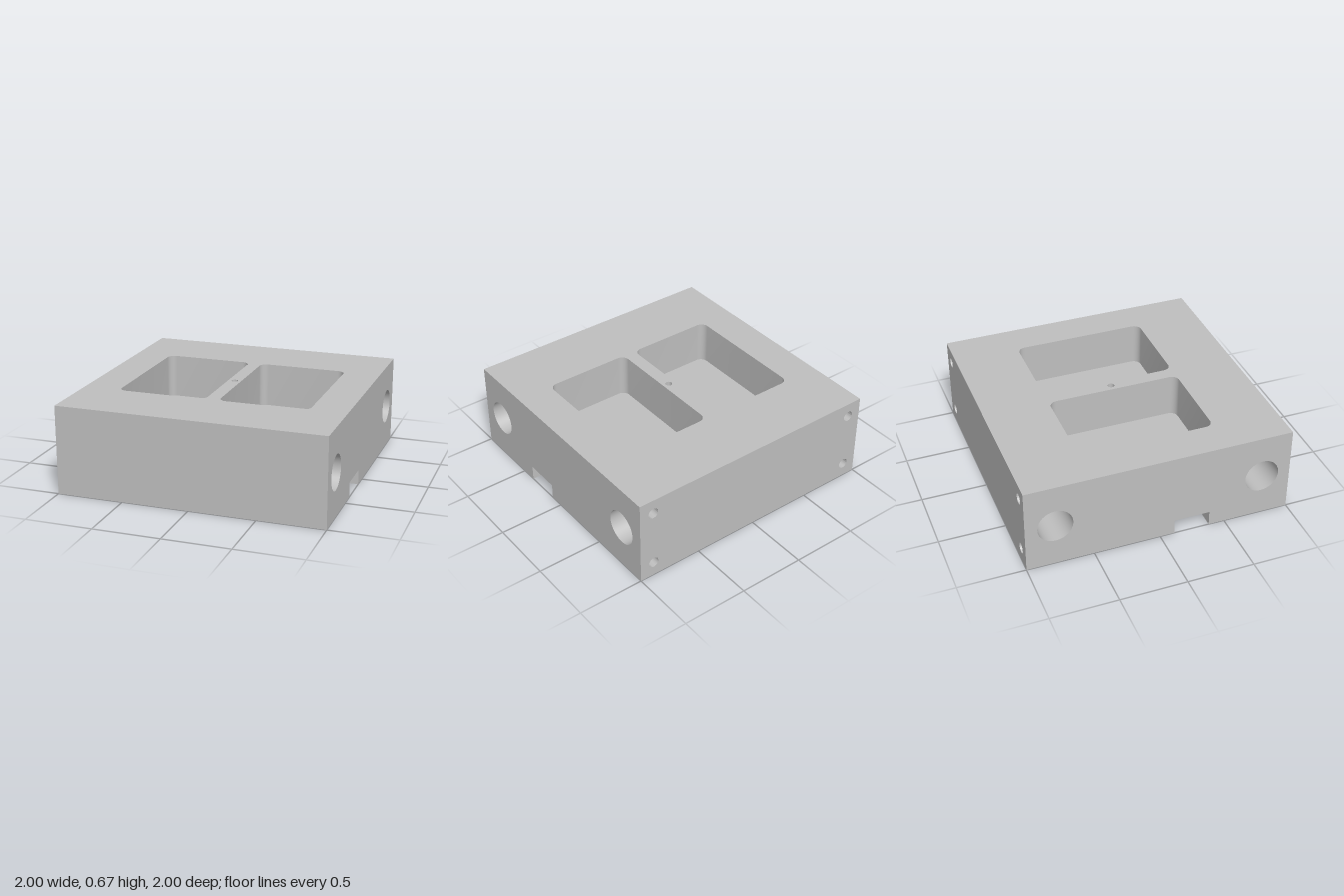
import * as THREE from 'three';
import { toCreasedNormals } from 'three/addons/utils/BufferGeometryUtils.js';

const H = 0.667;                                   // block height
const POCKET = { cx: 0.388, hw: 0.338, hz: 0.506, r: 0.058, floor: 0.333, roof: 0.267 };
const SLOT = { z0: 0.11, z1: 0.38, h: 0.114 };     // channel along x
const BORE = { y: 0.334, z: 0.78, R: 0.13, r: 0.07 };
const SCREW = { x: 0.89, ys: [0.112, 0.555], r: 0.04 };
const VENT_R = 0.025;
const HALF = Math.PI / 2;

const v2 = (x, y) => new THREE.Vector2(x, y);
const poly = (pairs) => pairs.map(([x, y]) => v2(x, y));

function circle(cx, cy, r, n = 40) {
  return Array.from({ length: n }, (_, i) => {
    const a = (i / n) * Math.PI * 2;
    return v2(cx + r * Math.cos(a), cy + r * Math.sin(a));
  });
}

// U-shaped half of a pocket outline in (x, z), from +x wall round to -x wall
function halfPocket(cx, zStart, sign) {
  const { hw, hz, r } = POCKET;
  const pts = [v2(cx + hw, zStart)];
  for (const side of [0, 1]) {
    const ox = cx + (side ? r - hw : hw - r);
    for (let i = 0; i <= 8; i++) {
      const a = (side + i / 8) * HALF;
      pts.push(v2(ox + r * Math.cos(a), sign * (hz - r + r * Math.sin(a))));
    }
  }
  pts.push(v2(cx - hw, zStart));
  return pts;
}

function fullPocket(cx) {
  return [...halfPocket(cx, 0, 1), ...halfPocket(cx, 0, -1).reverse().slice(1, -1)];
}

export function createModel() {
  const group = new THREE.Group();
  const steel = new THREE.MeshStandardMaterial({ color: 0xbfbfbf, side: THREE.DoubleSide });
  steel.name = 'machined grey';

  function add(name, geometry) {
    const mesh = new THREE.Mesh(geometry, steel);
    mesh.name = name;
    group.add(mesh);
    return mesh;
  }

  // Flat face with holes, turned and then moved into place
  function face(name, outline, holes, rot, pos) {
    const shape = new THREE.Shape(outline);
    shape.holes = holes.map((pts) => new THREE.Path(pts));
    const mesh = add(name, new THREE.ShapeGeometry(shape));
    mesh.rotation.set(...rot);
    mesh.position.set(...pos);
  }
  const UP = [-HALF, 0, 0], DOWN = [HALF, 0, 0];

  // Upright wall following an (x, z) path, facing the inside of the path
  function wall(name, path, y0, y1, closed = false) {
    const pos = [];
    const count = closed ? path.length : path.length - 1;
    for (let i = 0; i < count; i++) {
      const a = path[i], b = path[(i + 1) % path.length];
      pos.push(a.x, y0, a.y, b.x, y0, b.y, b.x, y1, b.y);
      pos.push(a.x, y0, a.y, b.x, y1, b.y, a.x, y1, a.y);
    }
    const g = new THREE.BufferGeometry();
    g.setAttribute('position', new THREE.Float32BufferAttribute(pos, 3));
    g.computeVertexNormals();
    add(name, toCreasedNormals(g, 0.5));
  }

  // Turned hole lining; profile runs from the opening downwards
  function hole(name, profile, rot, pos) {
    const g = toCreasedNormals(new THREE.LatheGeometry(poly(profile), 40), 0.5);
    const mesh = add(name, g);
    mesh.rotation.set(...rot);
    mesh.position.set(...pos);
  }

  // Outer faces
  const pockets = [POCKET.cx, -POCKET.cx];
  const square = poly([[-1, -1], [1, -1], [1, 1], [-1, 1]]);
  const upright = poly([[-1, 0], [1, 0], [1, H], [-1, H]]);
  face('topFace', square, [...pockets.map(fullPocket), circle(0, 0, VENT_R)], UP, [0, H, 0]);
  face('frontFace', upright, [], [0, 0, 0], [0, 0, 1]);
  const screws = [-1, 1].flatMap((s) => SCREW.ys.map((y) => [s * SCREW.x, y]));
  face('backFace', upright, screws.map(([x, y]) => circle(x, y, SCREW.r)), [0, Math.PI, 0], [0, 0, -1]);
  for (const s of [1, -1]) {
    // The face's own horizontal axis is -z on the +x side and +z on the other
    const outline = poly([[-1, 0], [SLOT.z0, 0], [SLOT.z0, SLOT.h], [SLOT.z1, SLOT.h],
      [SLOT.z1, 0], [1, 0], [1, H], [-1, H]]).map((p) => v2(-s * p.x, p.y));
    const bores = [-1, 1].map((k) => circle(k * BORE.z, BORE.y, BORE.R));
    face(s > 0 ? 'leftFace' : 'rightFace', outline, bores, [0, s * HALF, 0], [s, 0, 0]);
  }

  // Underside, split by the channel and notched by the lower pockets
  for (const [sign, z] of [[1, SLOT.z1], [-1, SLOT.z0]]) {
    const notches = [-POCKET.cx, POCKET.cx].flatMap((cx) => halfPocket(cx, z, sign).reverse());
    const outline = [...poly([[1, z], [1, sign], [-1, sign], [-1, z]]), ...notches];
    face(sign > 0 ? 'frontUnderside' : 'backUnderside', outline, [], DOWN, [0, 0, 0]);
  }

  // Upper and lower pockets, parted by a thin web
  for (const cx of pockets) {
    const loop = fullPocket(cx);
    wall('upperPocketWall', loop, POCKET.floor, H, true);
    wall('lowerPocketWall', loop, SLOT.h, POCKET.roof, true);
    wall('lowerPocketFrontWall', halfPocket(cx, SLOT.z1, 1), 0, SLOT.h);
    wall('lowerPocketBackWall', halfPocket(cx, SLOT.z0, -1).reverse(), 0, SLOT.h);
    face('pocketFloor', loop, [], UP, [0, POCKET.floor, 0]);
    face('pocketRoof', loop, [], DOWN, [0, POCKET.roof, 0]);
  }

  // Channel between and outside the pockets
  const inner = POCKET.cx - POCKET.hw, outer = POCKET.cx + POCKET.hw;
  for (const [a, b] of [[-1, -outer], [-inner, inner], [outer, 1]]) {
    const { z0, z1, h } = SLOT;
    face('channelRoof', poly([[a, z0], [b, z0], [b, z1], [a, z1]]), [], DOWN, [0, h, 0]);
    wall('channelBackWall', poly([[a, z0], [b, z0]]), 0, h);
    wall('channelFrontWall', poly([[b, z1], [a, z1]]), 0, h);
  }

  // Stepped bores right through from side to side
  const { R, r } = BORE;
  const bore = [[R, 1], [R, 0.65], [r, 0.59], [r, -0.59], [R, -0.65], [R, -1]];
  for (const k of [-1, 1]) hole('sideBore', bore, [0, 0, HALF], [0, BORE.y, k * BORE.z]);

  // Blind screw holes in the back and the small hole in the top
  const blind = (rad, depth) => [[rad, 0], [rad, -depth], [0, -depth - rad * 0.6]];
  for (const [x, y] of screws) hole('screwHole', blind(SCREW.r, 0.25), [-HALF, 0, 0], [x, y, -1]);
  hole('centreHole', blind(VENT_R, 0.2), [0, 0, 0], [0, H, 0]);

  return group;
}
